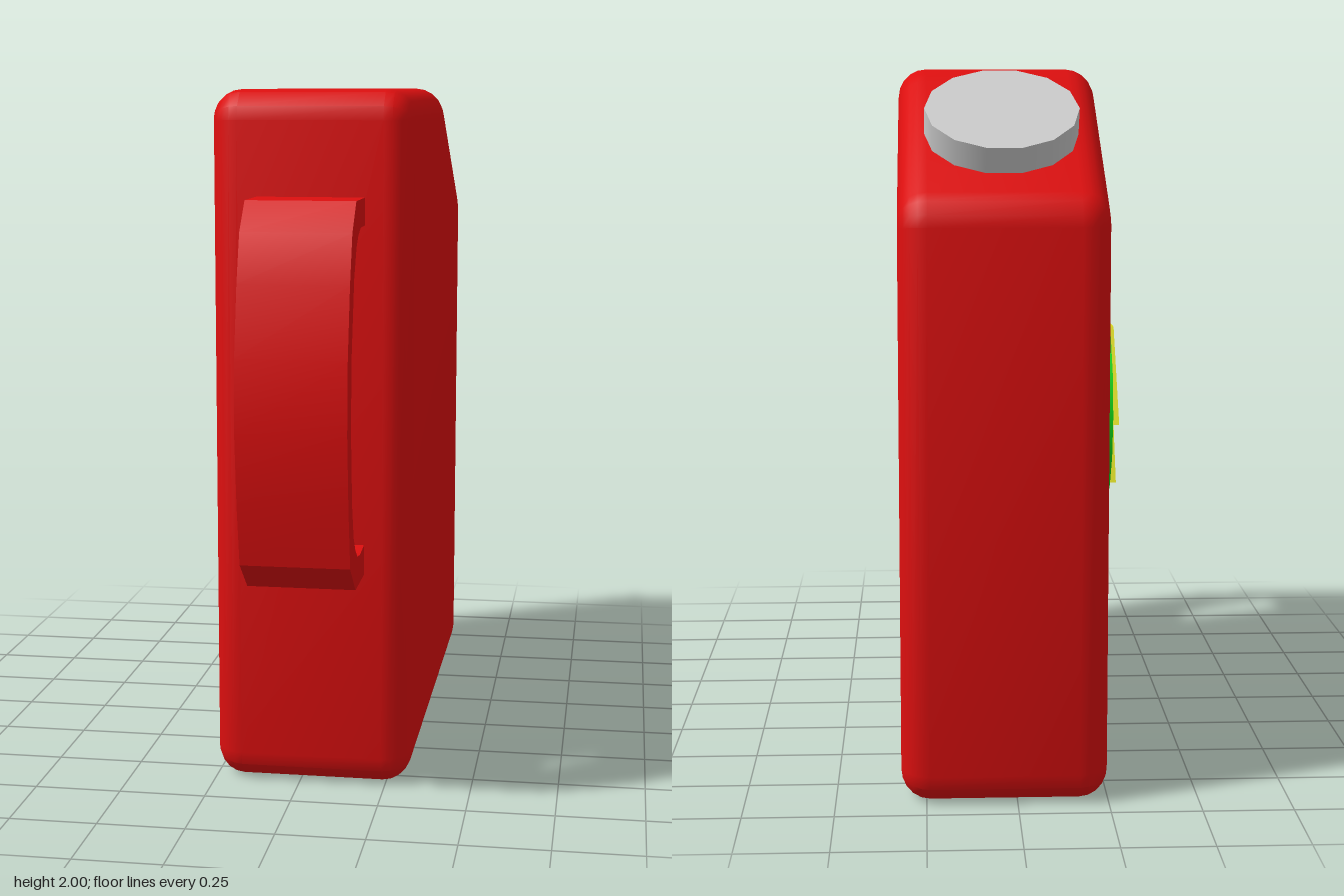
import * as THREE from 'three';
import { toCreasedNormals } from 'three/addons/utils/BufferGeometryUtils.js';

const MID = 0.035; // x of the can's centre plane

const paint = (color) => new THREE.MeshStandardMaterial({ color });

const polygon = (points) => new THREE.Shape(points.map(([z, y]) => new THREE.Vector2(z, y)));

// Polygon whose corners are each softened by their own trim length
function softPolygon(points) {
  const shape = new THREE.Shape();
  const pts = points.map(([z, y]) => new THREE.Vector2(z, y));
  pts.forEach((p, i) => {
    const trim = points[i][2];
    const toward = (q) => q.clone().sub(p).setLength(trim).add(p);
    const a = toward(pts[(i + pts.length - 1) % pts.length]);
    const b = toward(pts[(i + 1) % pts.length]);
    if (i === 0) shape.moveTo(a.x, a.y);
    else shape.lineTo(a.x, a.y);
    shape.quadraticCurveTo(p.x, p.y, b.x, b.y);
  });
  shape.closePath();
  return shape;
}

// Extrudes a (z, y) outline across x, centred on x = 0
function sideExtrude(shape, depth, bevel = 0) {
  const geometry = new THREE.ExtrudeGeometry(shape, {
    depth, curveSegments: 3,
    bevelEnabled: bevel > 0, bevelSize: bevel, bevelThickness: bevel, bevelSegments: 5,
  });
  geometry.translate(0, 0, -depth / 2);
  geometry.rotateY(-Math.PI / 2);
  return toCreasedNormals(geometry, 0.6);
}

export function createModel() {
  const group = new THREE.Group();
  const red = paint(0xdd0f0f);
  const add = (name, geometry, material, x, y = 0, z = 0) => {
    const mesh = new THREE.Mesh(geometry, material);
    mesh.name = name;
    mesh.position.set(x, y, z);
    group.add(mesh);
    return mesh;
  };

  // Can body: inset outline grown back out by the rounded bevel
  const bevel = 0.08;
  const outline = softPolygon([
    [0.525, 0.08, 0.012], [0.525, 1.92, 0.012], [-0.279, 1.92, 0.05],
    [-0.86, 1.594, 0.02], [-0.86, 0.08, 0.012],
  ]);
  add('body', sideExtrude(outline, 0.57 - 2 * bevel, bevel), red, MID);

  // Handle: faceted loop whose ends run slightly into the body
  const handle = polygon([
    [0.58, 1.705], [0.775, 1.705], [0.85, 1.625], [0.893, 1.49], [0.932, 1.295],
    [0.94, 1.095], [0.915, 0.888], [0.88, 0.718], [0.775, 0.633], [0.58, 0.633],
    [0.58, 0.72], [0.605, 0.72], [0.69, 0.712], [0.74, 0.72], [0.782, 0.75],
    [0.814, 0.79], [0.846, 0.888], [0.87, 1.1], [0.86, 1.295], [0.814, 1.5],
    [0.77, 1.58], [0.735, 1.61], [0.687, 1.628], [0.58, 1.628],
  ]);
  add('handle', sideExtrude(handle, 0.305), red, MID + 0.002);

  // Cap sitting square on the sloped shoulder
  const capHeight = 0.12;
  const tilt = -Math.PI / 6;
  const capGeometry = new THREE.CylinderGeometry(0.213, 0.213, capHeight, 14);
  capGeometry.rotateY(Math.PI / 2);
  const cap = add('cap', capGeometry, paint(0xcccccc), MID - 0.002,
    1.889 - (capHeight / 2) * Math.cos(tilt), -0.663 - (capHeight / 2) * Math.sin(tilt));
  cap.rotation.x = tilt;

  // Round badge on the right side
  const badge = new THREE.CylinderGeometry(0.314, 0.314, 0.07, 16);
  badge.rotateZ(Math.PI / 2);
  add('badge', badge, paint(0x11dd18), -0.262, 1, -0.17);

  // Raised zigzag bolt on the badge
  const bolt = polygon([
    [-0.08, 1.23], [-0.18, 1.23], [-0.375, 0.96], [-0.19, 0.96],
    [-0.29, 0.77], [-0.22, 0.77], [-0.01, 1.035], [-0.18, 1.035],
  ]);
  add('bolt', sideExtrude(bolt, 0.035), paint(0xd9d918), -0.308);

  return group;
}
